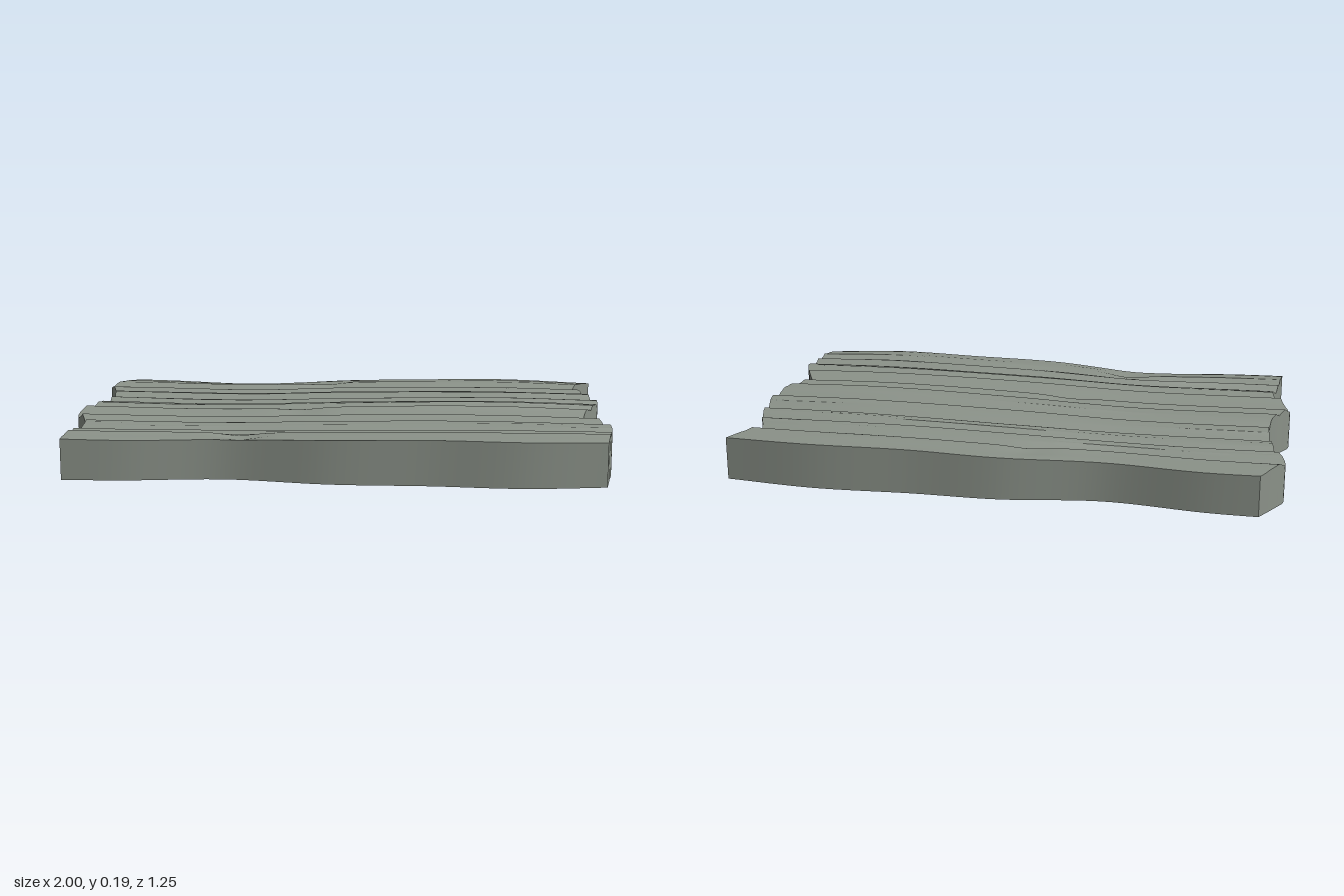
import * as THREE from 'three';
import { toCreasedNormals } from 'three/addons/utils/BufferGeometryUtils.js';

// one-dimensional curve through [position, value] pairs
function curve(points, Type = THREE.CubicInterpolant) {
  const f = new Type(points.map(p => p[0]), points.map(p => p[1]), 1, new Float32Array(1));
  return t => f.evaluate(t)[0];
}

// wavy outline: ends give x along z, long edges give z along x
const HALF = 0.625;
const leftEnd = curve([[-0.625, -0.92], [-0.53, -0.968], [-0.45, -1], [-0.36, -0.965], [-0.25, -0.942], [-0.05, -0.932],
  [0.06, -0.965], [0.14, -1], [0.22, -0.968], [0.34, -0.925], [0.45, -0.942], [0.625, -0.955]]);
const rightEnd = curve([[-0.625, 1], [-0.53, 0.945], [-0.45, 0.92], [-0.36, 0.95], [-0.25, 0.975], [-0.08, 0.99],
  [0.04, 0.955], [0.14, 0.92], [0.24, 0.965], [0.35, 1], [0.5, 0.985], [0.625, 0.968]]);
const backEdge = curve([[-1, -0.61], [-0.75, -0.605], [-0.38, -0.565], [0, -0.615], [0.3, -0.615], [0.67, -0.628], [1, -0.595]]);
const frontEdge = curve([[-1, 0.607], [-0.75, 0.602], [-0.38, 0.56], [0, 0.61], [0.35, 0.61], [0.68, 0.625], [1, 0.58]]);

// ridges and grooves across the board, and the gentle rise along it
const ridges = [[-0.625, 0.165], [-0.51, 0.175], [-0.45, 0.147], [-0.41, 0.168], [-0.38, 0.175], [-0.34, 0.152],
  [-0.305, 0.172], [-0.27, 0.175], [-0.21, 0.143], [-0.16, 0.172], [-0.12, 0.18], [-0.08, 0.155], [-0.03, 0.182],
  [0.02, 0.187], [0.05, 0.172], [0.09, 0.185], [0.16, 0.145], [0.24, 0.183], [0.285, 0.16], [0.33, 0.178],
  [0.37, 0.17], [0.42, 0.148], [0.455, 0.171], [0.485, 0.163], [0.52, 0.175], [0.625, 0.165]];
const profile = curve(ridges, THREE.LinearInterpolant);
const rise = curve([[-1, -0.016], [-0.4, -0.02], [0, -0.009], [0.6, 0], [1, -0.006]]);
const dents = [[-0.33, 0.55, 0.018], [-0.1, -0.53, 0.01], [-0.15, 0.1, 0.008]];

function topHeight(x, v, row) {
  const relief = 1 + 0.12 * Math.sin(3 * x + 9 * v);
  let y = 0.167 + (profile(v) - 0.167) * relief + rise(x);
  y += 0.0012 * Math.sin(row * 2.4 + 4 * x); // fine grain
  for (const [dx, dz, depth] of dents) y -= depth * Math.exp(-(((x - dx) / 0.08) ** 2) - ((v - dz) / 0.05) ** 2);
  return y;
}

// the long edges wander most, the grain inside follows less and less
function warpedZ(x, v) {
  const offset = v < 0 ? backEdge(x) + HALF : frontEdge(x) - HALF;
  return v + offset * Math.abs(v / HALF) ** 3;
}

function boardGeometry() {
  const COLS = 60, SUB = 4, positions = [];
  // rows land exactly on every ridge and groove
  const rows = [];
  for (let k = 0; k < ridges.length - 1; k++)
    for (let s = 0; s < SUB; s++) rows.push(THREE.MathUtils.lerp(ridges[k][0], ridges[k + 1][0], s / SUB));
  rows.push(HALF);
  const last = rows.length - 1;

  const top = rows.map((v, j) => Array.from({ length: COLS + 1 }, (_, i) => {
    const x = THREE.MathUtils.lerp(leftEnd(v), rightEnd(v), i / COLS);
    return [x, topHeight(x, v, j), warpedZ(x, v)];
  }));
  const floor = ([x, , z]) => [x, 0, z];
  const quad = (a, b, c, d) => positions.push(...a, ...b, ...c, ...a, ...c, ...d);
  const wall = (p, q) => quad(floor(p), floor(q), q, p);

  // weathered top and flat underside
  for (let j = 0; j < last; j++) for (let i = 0; i < COLS; i++) {
    const a = top[j][i], b = top[j + 1][i], c = top[j + 1][i + 1], d = top[j][i + 1];
    quad(a, b, c, d);
    quad(floor(a), floor(d), floor(c), floor(b));
  }
  // upright walls: long edges, then ends
  for (let i = 0; i < COLS; i++) {
    wall(top[last][i], top[last][i + 1]);
    wall(top[0][i + 1], top[0][i]);
  }
  for (let j = 0; j < last; j++) {
    wall(top[j + 1][COLS], top[j][COLS]);
    wall(top[j][0], top[j + 1][0]);
  }

  const geometry = new THREE.BufferGeometry();
  geometry.setAttribute('position', new THREE.Float32BufferAttribute(positions, 3));
  return toCreasedNormals(geometry, 0.4);
}

export function createModel() {
  const group = new THREE.Group();
  group.name = 'weatheredSlab';
  const slab = new THREE.Mesh(boardGeometry(), new THREE.MeshStandardMaterial({ color: 0x8a9188 }));
  slab.name = 'ridgedSlab';
  group.add(slab);
  return group;
}
